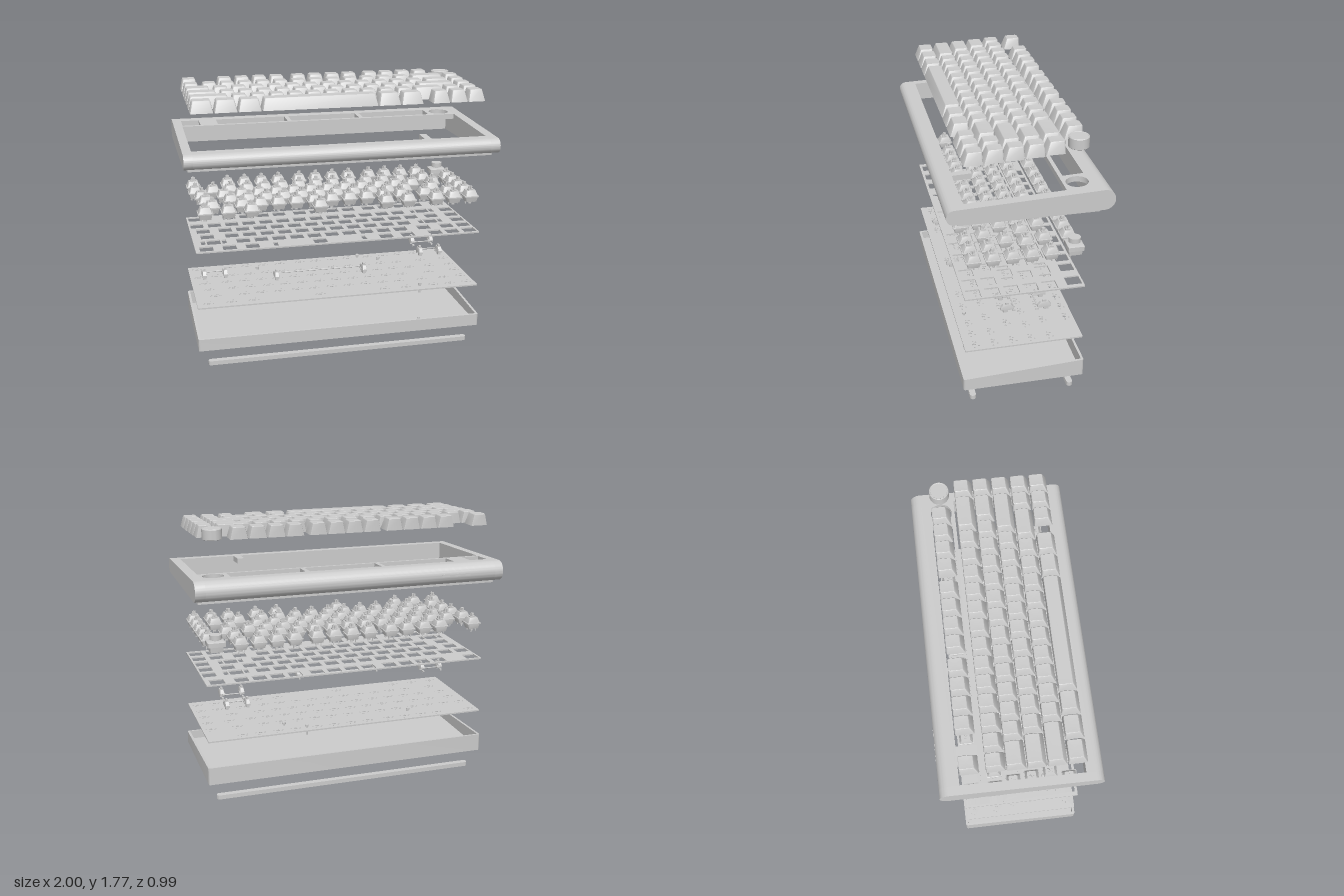
import * as THREE from 'three';
import { mergeGeometries, toCreasedNormals } from 'three/addons/utils/BufferGeometryUtils.js';

const mat = new THREE.MeshStandardMaterial({ color: 0xcccccc });
const U = 0.1172, X0 = -0.943; // key unit and left edge of the layout
const ROW_Z = [-0.302, -0.15, -0.032, 0.086, 0.204, 0.322];
const CAP_Y = [1.694, 1.689, 1.682, 1.677, 1.672, 1.667];
// key widths in units per row; negative numbers are gaps
const ROWS = [
  [1, -1, 1, 1, 1, 1, -0.25, 1, 1, 1, 1, -0.25, 1, 1, 1, 1],
  [...Array(13).fill(1), 2, 1],
  [1.5, ...Array(12).fill(1), 1.5, 1],
  [1.75, ...Array(11).fill(1), 2.25, 1],
  [2.25, ...Array(10).fill(1), 1.75, 1, 1],
  [1.25, 1.25, 1.25, 6.25, 1.25, 1.25, -0.5, 1, 1, 1],
];
const KEYS = ROWS.flatMap((row, r) => {
  let at = 0;
  return row.map((w) => {
    const key = { w, r, x: X0 + (at + Math.abs(w) / 2) * U, z: ROW_Z[r] };
    at += Math.abs(w);
    return key;
  }).filter((k) => k.w > 0);
});
const KNOB = { x: 0.853, z: -0.302 };
const STABS = KEYS.filter((k) => k.w >= 2).map((k) => ({ ...k, half: k.w > 6 ? 0.29 : 0.068 }));

// ---- helpers ----
function add(parent, name, geo, x = 0, y = 0, z = 0) {
  const m = new THREE.Mesh(geo, mat);
  m.name = name;
  m.position.set(x, y, z);
  parent.add(m);
  return m;
}
function group(parent, name) {
  const g = new THREE.Group();
  g.name = name;
  parent.add(g);
  return g;
}
// rounded rectangle path in x,z
function rect(x1, x2, z1, z2, r = 0, Type = THREE.Path) {
  const s = new Type();
  if (!r) {
    s.moveTo(x1, z1); s.lineTo(x2, z1); s.lineTo(x2, z2); s.lineTo(x1, z2); s.closePath();
    return s;
  }
  const q = Math.PI / 2;
  s.absarc(x2 - r, z1 + r, r, -q, 0);
  s.absarc(x2 - r, z2 - r, r, 0, q);
  s.absarc(x1 + r, z2 - r, r, q, 2 * q);
  s.absarc(x1 + r, z1 + r, r, 2 * q, 3 * q);
  s.closePath();
  return s;
}
const plan = (...a) => rect(a[0], a[1], a[2], a[3], a[4], THREE.Shape);
const circle = (x, z, r) => new THREE.Path().absarc(x, z, r, 0, Math.PI * 2);
// horizontal slab whose outline is given in x,z
function slab(shape, yTop, yBottom, holes = [], curveSegments = 6) {
  shape.holes.push(...holes);
  const g = new THREE.ExtrudeGeometry(shape, { depth: yTop - yBottom, bevelEnabled: false, curveSegments });
  return toCreasedNormals(g.rotateX(Math.PI / 2).translate(0, yTop, 0), 0.6);
}
// tilt everything above a height, rising to the back
function slope(g, k, above = -1) {
  const p = g.attributes.position;
  for (let i = 0; i < p.count; i++) if (p.getY(i) > above) p.setY(i, p.getY(i) - k * p.getZ(i));
  g.computeVertexNormals();
  return toCreasedNormals(g, 0.6);
}
// bar along x with a z,y section
function bar(shape, x1, x2) {
  const g = new THREE.ExtrudeGeometry(shape, { depth: x2 - x1, bevelEnabled: false, curveSegments: 14 });
  return toCreasedNormals(g.rotateY(-Math.PI / 2).translate(x2, 0, 0), 0.6);
}
// rounded rectangular cross-section: width, depth, corner, height, z shift
function loop(w, d, r, y, dz = 0) {
  const pts = [];
  for (let c = 0; c < 4; c++) for (let k = 0; k < 3; k++) {
    const a = (c + k / 2) * Math.PI / 2;
    const sx = c === 0 || c === 3 ? 1 : -1, sz = c < 2 ? 1 : -1;
    pts.push([sx * (w / 2 - r) + r * Math.cos(a), y, sz * (d / 2 - r) + r * Math.sin(a) + dz]);
  }
  return pts;
}
function loft(loops) {
  const pos = [], n = loops[0].length;
  for (let j = 0; j + 1 < loops.length; j++) for (let i = 0; i < n; i++) {
    const k = (i + 1) % n, [a, b, c, d] = [loops[j][i], loops[j][k], loops[j + 1][i], loops[j + 1][k]];
    pos.push(...a, ...c, ...b, ...b, ...c, ...d);
  }
  const g = new THREE.BufferGeometry();
  g.setAttribute('position', new THREE.Float32BufferAttribute(pos, 3));
  g.computeVertexNormals();
  return toCreasedNormals(g, 0.6);
}
function merge(list) {
  return mergeGeometries(list.map((g) => {
    const n = g.index ? g.toNonIndexed() : g;
    n.deleteAttribute('uv');
    return n;
  }));
}
const box = (w, h, d, x = 0, y = 0, z = 0) => new THREE.BoxGeometry(w, h, d).translate(x, y, z);
const cyl = (r, h, x = 0, y = 0, z = 0, n = 12) => new THREE.CylinderGeometry(r, r, h, n).translate(x, y, z);

// hollow keycap, front face raked, with a stem post inside
function keycap(units) {
  const w = units * U - 0.007, d = 0.113, h = 0.074;
  return merge([loft([
    loop(0, 0, 0, h - 0.012, -0.012), loop(w - 0.044, d - 0.042, 0.005, h - 0.012, -0.012),
    loop(w - 0.012, d - 0.012, 0.005, 0), loop(w, d, 0.006, 0),
    loop(w - 0.03, d - 0.026, 0.009, h - 0.003, -0.012), loop(w - 0.036, d - 0.032, 0.009, h, -0.012),
    loop(0, 0, 0, h - 0.003, -0.012),
  ]), cyl(0.017, h - 0.018, 0, (h - 0.01) / 2, 0, 10)]);
}
// key switch: lower housing, flange, tapered top, cross stem, pins
function switchGeometry() {
  return merge([
    loft([loop(0, 0, 0, -0.034), loop(0.07, 0.07, 0.006, -0.034), loop(0.084, 0.084, 0.006, -0.002),
      loop(0.096, 0.096, 0.006, -0.002), loop(0.096, 0.096, 0.006, 0.005), loop(0.086, 0.086, 0.006, 0.007),
      loop(0.06, 0.056, 0.008, 0.04, -0.003), loop(0, 0, 0, 0.04, -0.003)]),
    box(0.036, 0.01, 0.03, 0, 0.042), box(0.025, 0.024, 0.008, 0, 0.054), box(0.008, 0.024, 0.025, 0, 0.054),
    cyl(0.012, 0.02, 0, -0.042, 0, 8), cyl(0.005, 0.014, -0.03, -0.04, 0, 6), cyl(0.005, 0.014, 0.03, -0.04, 0, 6),
    box(0.006, 0.024, 0.003, -0.023, -0.045, -0.015), box(0.006, 0.024, 0.003, 0.015, -0.045, -0.03),
  ]);
}

export function createModel() {
  const model = new THREE.Group();
  model.name = 'explodedKeyboard';

  // keycaps and knob
  const caps = group(model, 'keycaps'), capCache = {};
  for (const k of KEYS) add(caps, 'keycap', capCache[k.w] ??= keycap(k.w), k.x, CAP_Y[k.r], k.z);
  const knobProfile = [[0, 0.035], [0.048, 0.035], [0.048, 0], [0.059, 0], [0.061, 0.002], [0.061, 0.062],
    [0.058, 0.066], [0.054, 0.066], [0.052, 0.064], [0, 0.064]].map((p) => new THREE.Vector2(...p));
  add(model, 'knob', toCreasedNormals(new THREE.LatheGeometry(knobProfile, 40), 0.6), KNOB.x, 1.695, KNOB.z);

  // upper case: rounded front and back rails, flat-ended side walls
  const frame = group(model, 'upperCase'), q = Math.PI / 2, K = 0.039, TOP = 1.4573;
  const section = (front, back) => {
    const s = new THREE.Shape();
    if (front) s.absarc(0.446, 1.393, 0.047, -q, q);
    else { s.moveTo(-0.378, 1.346); s.lineTo(-0.378, TOP + K * 0.378); }
    if (back) s.absarc(-0.429, 1.41, 0.064, q, 3 * q);
    else { s.lineTo(0.385, TOP - K * 0.385); s.lineTo(0.385, 1.346); }
    s.closePath();
    return s;
  };
  add(frame, 'rightWall', bar(section(true, true), -1, -0.945));
  add(frame, 'leftWall', bar(section(true, true), 0.937, 1));
  add(frame, 'frontRail', bar(section(true, false), -0.945, 0.937));
  add(frame, 'backRail', bar(section(false, true), -0.945, 0.937));
  const ux = (u) => X0 + u * U;
  const windows = [[0, 1], [2, 6], [6.25, 10.25], [10.5, 14.5]]
    .map(([a, b]) => rect(ux(a) + 0.001, ux(b) + 0.002, -0.367, -0.24));
  add(frame, 'functionRowPanel', slope(slab(plan(-0.945, 0.937, -0.378, -0.216), TOP, TOP - 0.035,
    [...windows, circle(KNOB.x, KNOB.z, 0.067)], 20), K));
  add(frame, 'frontTab', slope(slab(plan(0.53, 0.576, 0.265, 0.385), TOP, TOP - 0.035), K));
  add(frame, 'lowerLip', slab(plan(-0.975, 0.973, -0.413, 0.427, 0.01), 1.346, 1.325, [rect(-0.945, 0.937, -0.378, 0.385)]));
  // rear port and switches
  for (const [x, w] of [[-0.6, 0.05], [-0.68, 0.035], [-0.75, 0.035]])
    add(frame, 'rearPort', box(w, 0.016, 0.004), x, 1.41, -0.492);

  // switches and rotary encoder
  const switches = group(model, 'switches'), sw = switchGeometry();
  for (const k of KEYS) add(switches, 'switch', sw, k.x, 1.03, k.z);
  add(switches, 'encoder', merge([
    loft([loop(0, 0, 0, -0.035), loop(0.08, 0.08, 0.006, -0.035), loop(0.086, 0.086, 0.006, 0),
      loop(0.112, 0.1, 0.006, 0), loop(0.112, 0.1, 0.006, 0.028), loop(0.08, 0.08, 0.006, 0.034), loop(0, 0, 0, 0.034)]),
    cyl(0.022, 0.04, 0, 0.045, 0, 20), cyl(0.037, 0.03, 0, 0.056, 0, 28),
    ...[-0.03, 0, 0.03].map((x) => box(0.006, 0.026, 0.004, x, -0.045, 0.03)),
  ]), KNOB.x, 1.03, KNOB.z);

  // switch plate with square cut-outs
  const sq = (x, z, a, b = a) => rect(x - a, x + a, z - b, z + b);
  const cuts = KEYS.map((k) => sq(k.x, k.z, 0.043));
  for (const s of STABS) for (const e of [-1, 1]) cuts.push(sq(s.x + e * s.half, s.z, 0.014, 0.036));
  add(model, 'switchPlate', slab(plan(-0.94, 0.928, -0.36, 0.382, 0.006), 0.794, 0.785, [...cuts, sq(KNOB.x, KNOB.z, 0.046)]));

  // stabilizers: two housings joined by a wire
  const stabs = group(model, 'stabilizers');
  const housing = merge([
    loft([loop(0, 0, 0, 0), loop(0.028, 0.086, 0.004, 0), loop(0.028, 0.086, 0.004, 0.014),
      loop(0.024, 0.05, 0.004, 0.036), loop(0, 0, 0, 0.036)]),
    box(0.014, 0.018, 0.022, 0, 0.04), box(0.02, 0.02, 0.03, 0, -0.008, 0.01), box(0.012, 0.01, 0.02, 0, -0.014, -0.045),
  ]);
  for (const s of STABS) {
    const g = group(stabs, 'stabilizer'), dz = s.r === 1 ? 0.045 : -0.045;
    g.position.set(s.x, 0.57, s.z);
    for (const e of [-1, 1]) {
      add(g, 'housing', housing, e * s.half).rotation.y = s.r === 1 ? Math.PI : 0;
      add(g, 'wireArm', box(0.007, 0.007, 0.05), e * (s.half - 0.016), 0.008, dz / 2);
    }
    add(g, 'wire', new THREE.CylinderGeometry(0.004, 0.004, 2 * s.half, 8).rotateZ(q), 0, 0.008, dz);
  }

  // circuit board with pin holes
  const drills = KEYS.flatMap(({ x, z }) => [circle(x, z, 0.012), circle(x - 0.031, z, 0.006), circle(x + 0.031, z, 0.006),
    circle(x - 0.022, z - 0.016, 0.006), circle(x + 0.015, z - 0.03, 0.006)]);
  add(model, 'circuitBoard', slab(plan(-0.943, 0.93, -0.36, 0.384, 0.006), 0.421, 0.412, drills, 3));
  const screw = merge([cyl(0.013, 0.012, 0, 0.022), cyl(0.007, 0.066, 0, -0.01)]);
  for (const [x, z] of [[0.545, 0.322], [0.273, -0.31], [-0.47, -0.226], [0.405, -0.226]])
    add(model, 'screw', screw, x, 0.415, z);

  // bottom tray: sloped walls, floor with two grooves for the feet
  const tray = group(model, 'bottomTray');
  const feetZ = [0.329, -0.305], inner = [-0.934, 0.924, -0.356, 0.384];
  add(tray, 'trayWalls', slope(slab(plan(-0.95, 0.94, -0.371, 0.4, 0.012), 0.228, 0.13, [rect(...inner)]), 0.0455, 0.2));
  add(tray, 'trayFloor', slab(plan(...inner), 0.155, 0.142));
  add(tray, 'grooveLayer', slab(plan(...inner), 0.142, 0.13,
    feetZ.map((z) => rect(-0.888, 0.882, z - 0.021, z + 0.021, 0.0205))));
  for (const [x, z] of [[0.545, 0.322], [0.273, -0.31], [-0.47, -0.31]])
    add(tray, 'post', cyl(0.008, 0.04), x, 0.173, z);
  add(tray, 'portBlock', box(0.07, 0.05, 0.03), -0.7, 0.18, -0.342);

  // foot strips
  for (const z of feetZ)
    add(model, 'footStrip', slab(plan(-0.885, 0.88, z - 0.0195, z + 0.0195, 0.019), 0.028, 0));

  return model;
}
